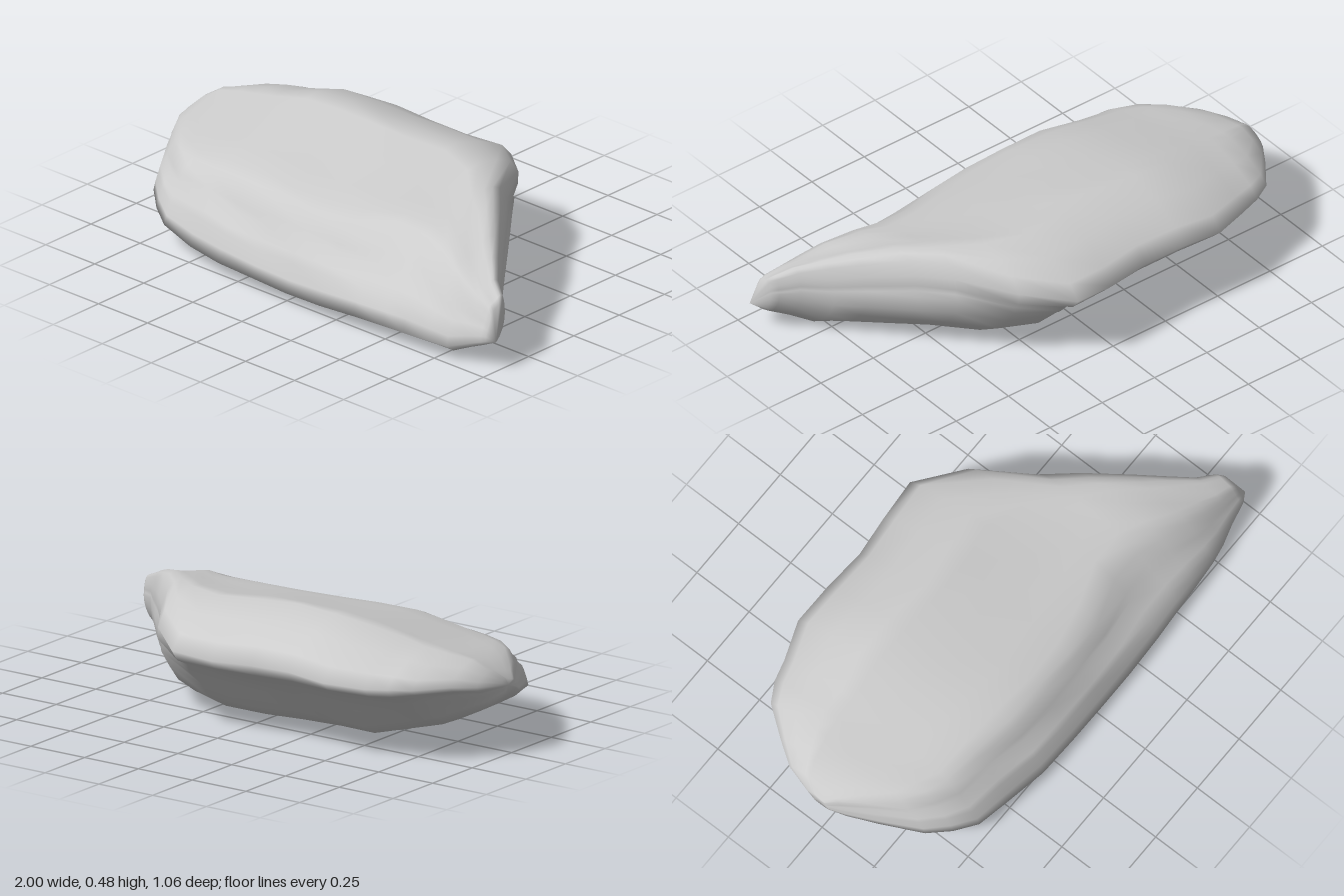
import * as THREE from 'three';

// Stations along x: x, front z, back z, lowest y, highest y
const stations = [
  [-1.0, 0.03, -0.07, 0.24, 0.30], [-0.97, 0.09, -0.18, 0.20, 0.34],
  [-0.91, 0.20, -0.27, 0.165, 0.38], [-0.82, 0.35, -0.39, 0.12, 0.40],
  [-0.74, 0.42, -0.435, 0.085, 0.415], [-0.65, 0.475, -0.46, 0.06, 0.43],
  [-0.5, 0.495, -0.515, 0.02, 0.465], [-0.33, 0.525, -0.51, 0.01, 0.48],
  [-0.15, 0.53, -0.5, 0.005, 0.48], [0.02, 0.53, -0.52, 0, 0.475],
  [0.19, 0.53, -0.535, 0, 0.465], [0.36, 0.525, -0.41, 0.005, 0.455],
  [0.5, 0.515, -0.2, 0.01, 0.43], [0.6, 0.51, -0.08, 0.012, 0.42],
  [0.72, 0.5, 0.07, 0.018, 0.375], [0.8, 0.485, 0.17, 0.02, 0.34],
  [0.88, 0.465, 0.27, 0.06, 0.30], [0.945, 0.455, 0.32, 0.09, 0.27],
  [0.965, 0.45, 0.345, 0.1, 0.25],
];
// Points that close the two ends
const tips = [[-1.0, 0.27, -0.02], [1.0, 0.12, 0.43]];

// Layered cross-section of the main slab (z, y): up the front, over the top, down the overhanging back
const mainProfile = [
  [0.53, 0.05], [0.515, 0.10], [0.49, 0.16], [0.475, 0.19], [0.43, 0.235],
  [0.42, 0.27], [0.385, 0.31], [0.36, 0.34], [0.31, 0.362], [0.2, 0.39],
  [0.02, 0.425], [-0.15, 0.47], [-0.22, 0.478], [-0.36, 0.435], [-0.48, 0.37],
  [-0.53, 0.31], [-0.49, 0.265], [-0.42, 0.235], [-0.40, 0.205], [-0.31, 0.14],
  [-0.27, 0.07], [-0.18, 0.015], [-0.1, 0], [0.15, 0.005], [0.4, 0.015],
].map(([z, y]) => [(0.53 - z) / 1.06, y / 0.48]);

// Cross-section of the cut-off end, with a steep back face (share of depth, share of height)
const endProfile = [
  [0, 0.12], [0.02, 0.25], [0.06, 0.36], [0.1, 0.43], [0.18, 0.54],
  [0.21, 0.62], [0.28, 0.73], [0.34, 0.83], [0.41, 0.87], [0.5, 0.9],
  [0.6, 0.93], [0.7, 0.97], [0.78, 1], [0.85, 0.99], [0.91, 0.95],
  [0.96, 0.82], [0.98, 0.72], [0.965, 0.65], [1, 0.61], [0.98, 0.45],
  [0.9, 0.28], [0.75, 0.1], [0.6, 0], [0.4, 0], [0.12, 0.03],
];

function rockGeometry() {
  const n = mainProfile.length, last = stations.length - 1;
  const positions = [], index = [];
  stations.forEach(([x, front, back, low, high], i) => {
    const width = front - back;
    const blend = THREE.MathUtils.clamp((x - 0.15) / 0.35, 0, 1);
    mainProfile.forEach((point, j) => {
      const u = THREE.MathUtils.lerp(point[0], endProfile[j][0], blend);
      const v = THREE.MathUtils.lerp(point[1], endProfile[j][1], blend);
      // Gentle chips along the layers, fading towards the outline
      const chip = 0.008 * Math.sin(i * 2.3 + j * 1.7) * Math.min(1, width) * 4 * u * (1 - u);
      const lift = 0.006 * Math.sin(i * 1.9 + j * 0.9) * Math.min(1, width) * 4 * v * (1 - v);
      positions.push(x, low + (high - low) * v + lift, front - width * u + chip);
    });
  });
  // Skin between neighbouring sections
  for (let i = 0; i < last; i++) {
    for (let j = 0; j < n; j++) {
      const k = (j + 1) % n;
      const a = i * n + j, b = a + n, c = i * n + k, d = c + n;
      index.push(a, b, c, b, d, c);
    }
  }
  // Close both ends
  tips.forEach((tip, side) => {
    const centre = positions.length / 3, start = side * last * n;
    positions.push(...tip);
    for (let j = 0; j < n; j++) {
      const a = start + j, b = start + (j + 1) % n;
      index.push(centre, side ? b : a, side ? a : b);
    }
  });
  const geometry = new THREE.BufferGeometry();
  geometry.setAttribute('position', new THREE.Float32BufferAttribute(positions, 3));
  geometry.setIndex(index);
  geometry.computeVertexNormals();
  return geometry;
}

export function createModel() {
  const group = new THREE.Group();
  group.name = 'rock';
  const stone = new THREE.MeshStandardMaterial({ color: 0xcccccc });
  stone.name = 'grey stone';
  const slab = new THREE.Mesh(rockGeometry(), stone);
  slab.name = 'rockSlab';
  group.add(slab);
  return group;
}
